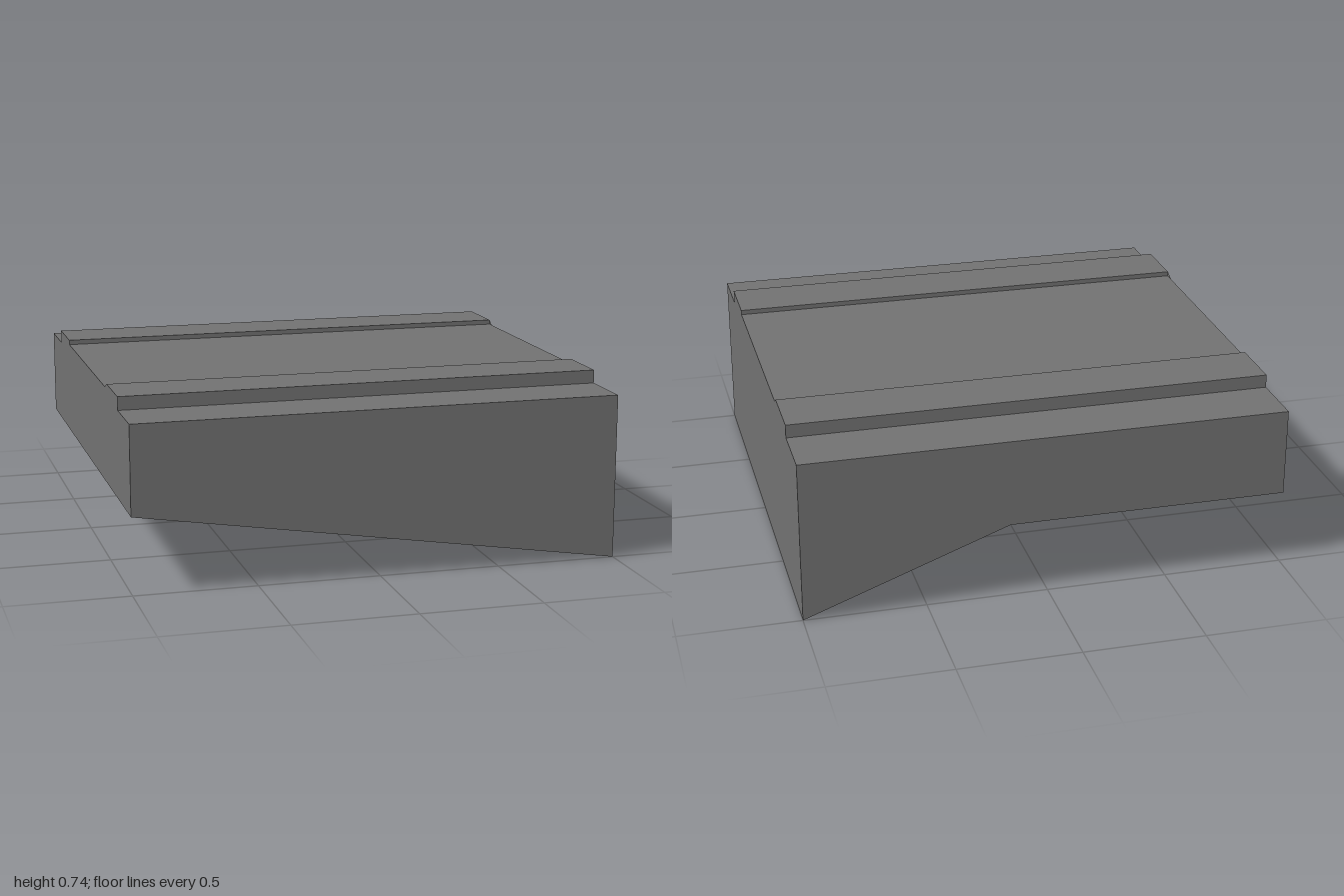
import * as THREE from 'three';

const makeMaterial = (side = THREE.FrontSide) =>
  new THREE.MeshStandardMaterial({ color: 0x717171, flatShading: true, side });

const makeShape = (points) => new THREE.Shape(points.map(([x, y]) => new THREE.Vector2(x, y)));

export function createModel() {
  const group = new THREE.Group();
  const solid = makeMaterial();
  const thin = makeMaterial(THREE.DoubleSide);

  const add = (name, geometry, material = solid) => {
    const mesh = new THREE.Mesh(geometry, material);
    mesh.name = name;
    group.add(mesh);
  };

  const baseTop = 0.68, deckTop = 0.715, railTop = 0.735;
  const kneeX = 0.155, kneeY = 0.315;

  // Base block: flat underside that ramps down to the ground at the +x end
  const base = new THREE.ExtrudeGeometry(
    makeShape([[-1, kneeY], [kneeX, kneeY], [1, 0], [1, baseTop], [-1, baseTop]]),
    { depth: 2, bevelEnabled: false }
  );
  base.translate(0, 0, -1);
  add('base', base);

  // Thin web that closes the hollow under the front face
  const web = new THREE.ShapeGeometry(makeShape([[-1, kneeY], [1, 0], [kneeX, kneeY]]));
  web.translate(0, 0, 1);
  add('frontWeb', web, thin);

  // Raised deck with a rail along each edge, swept along x
  const deck = new THREE.ExtrudeGeometry(
    makeShape([
      [-0.75, baseTop], [0.75, baseTop], [0.75, railTop], [0.5, railTop],
      [0.5, deckTop], [-0.5, deckTop], [-0.5, railTop], [-0.75, railTop],
    ]),
    { depth: 2, bevelEnabled: false }
  );
  deck.rotateY(Math.PI / 2).translate(-1, 0, 0);
  add('railedDeck', deck);

  // Small thin gussets at one end of each rail
  for (const [x, z, reach] of [[1, -0.5, 0.03], [-1, 0.5, -0.05]]) {
    const gusset = new THREE.ShapeGeometry(
      makeShape([[-z, deckTop], [-z, railTop], [-z - reach, deckTop]])
    );
    gusset.rotateY(Math.PI / 2).translate(x, 0, 0);
    add('railGusset', gusset, thin);
  }

  return group;
}
